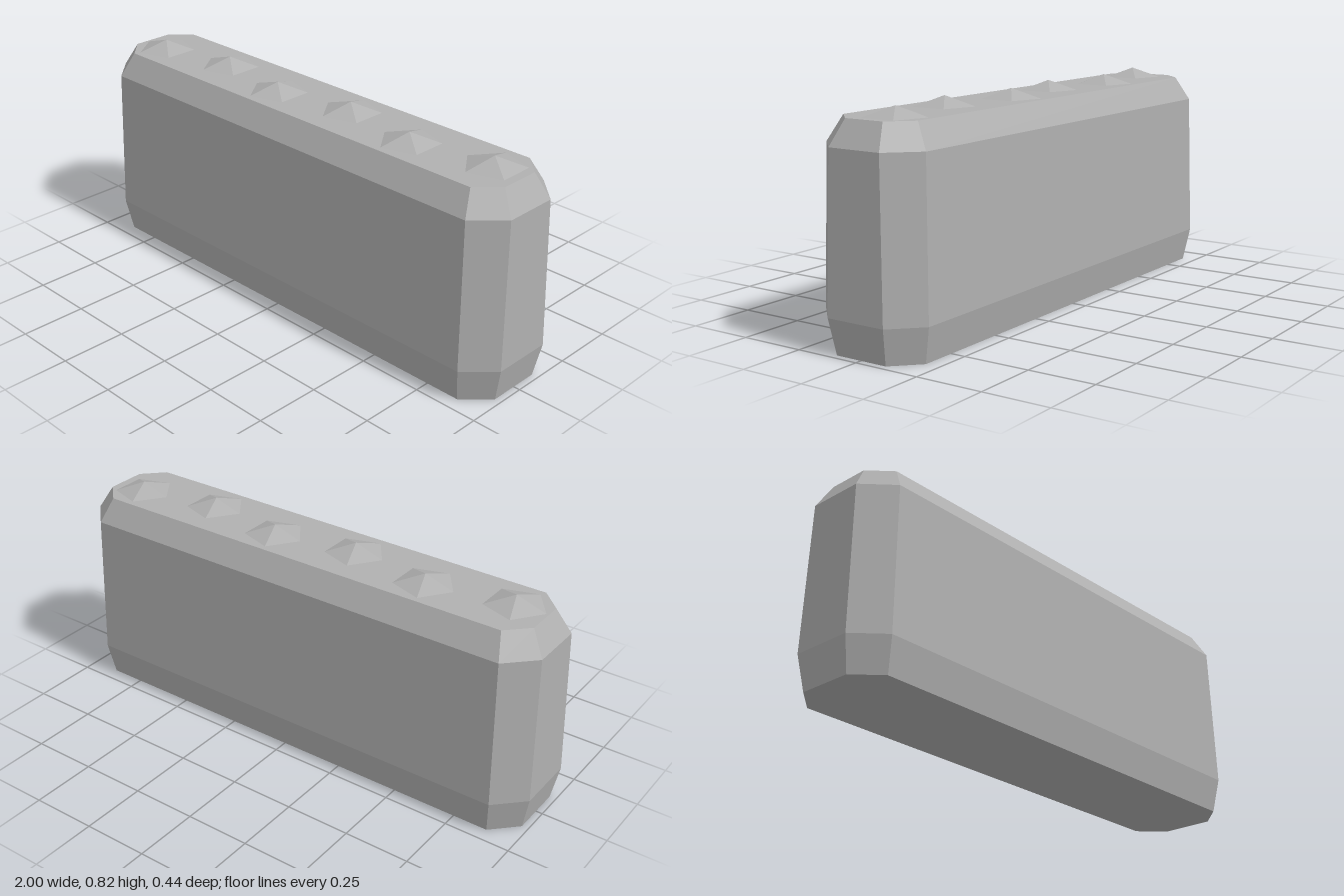
import * as THREE from 'three';

// Horizontal sections: height, half length, half depth, corner cut
const SECTIONS = [
  [0, 0.975, 0.195, 0.091],
  [0.13, 1, 0.22, 0.103],
  [0.69, 0.987, 0.208, 0.103],
  [0.78, 0.935, 0.156, 0.078],
];

// Octagonal ring, ordered anticlockwise seen from above
function ring([y, hx, hz, c]) {
  const ix = hx - c, iz = hz - c;
  return [
    [ix, hz], [hx, iz], [hx, -iz], [ix, -hz],
    [-ix, -hz], [-hx, -iz], [-hx, iz], [-ix, hz],
  ].map(([x, z]) => [x, y, z]);
}

// Side faces between neighbouring rings, then flat caps
function blockGeometry() {
  const rings = SECTIONS.map(ring);
  const top = rings[rings.length - 1], bottom = rings[0];
  const pos = [];
  const tri = (a, b, c) => pos.push(...a, ...b, ...c);
  for (let k = 0; k < rings.length - 1; k++) {
    for (let i = 0; i < 8; i++) {
      const j = (i + 1) % 8;
      tri(rings[k][i], rings[k][j], rings[k + 1][j]);
      tri(rings[k][i], rings[k + 1][j], rings[k + 1][i]);
    }
  }
  for (let i = 1; i < 7; i++) {
    tri(top[0], top[i], top[i + 1]);
    tri(bottom[0], bottom[i + 1], bottom[i]);
  }
  const geo = new THREE.BufferGeometry();
  geo.setAttribute('position', new THREE.Float32BufferAttribute(pos, 3));
  geo.computeVertexNormals();
  return geo;
}

export function createModel() {
  const group = new THREE.Group();
  group.name = 'stoneWall';
  const stone = new THREE.MeshStandardMaterial({ name: 'stone grey', color: 0xb0b0b0, flatShading: true });

  const block = new THREE.Mesh(blockGeometry(), stone);
  block.name = 'wallBlock';
  group.add(block);

  // Low five-sided studs in a staggered row along the top
  const height = 0.036;
  const studGeo = new THREE.ConeGeometry(0.113, height, 5, 1, true, -Math.PI / 2);
  for (let i = 0; i < 6; i++) {
    const stud = new THREE.Mesh(studGeo, stone);
    stud.name = `topStud${i + 1}`;
    stud.position.set(-0.812 + i * 0.3245, 0.78 + height / 2, i % 2 ? -0.026 : 0.026);
    group.add(stud);
  }
  return group;
}
